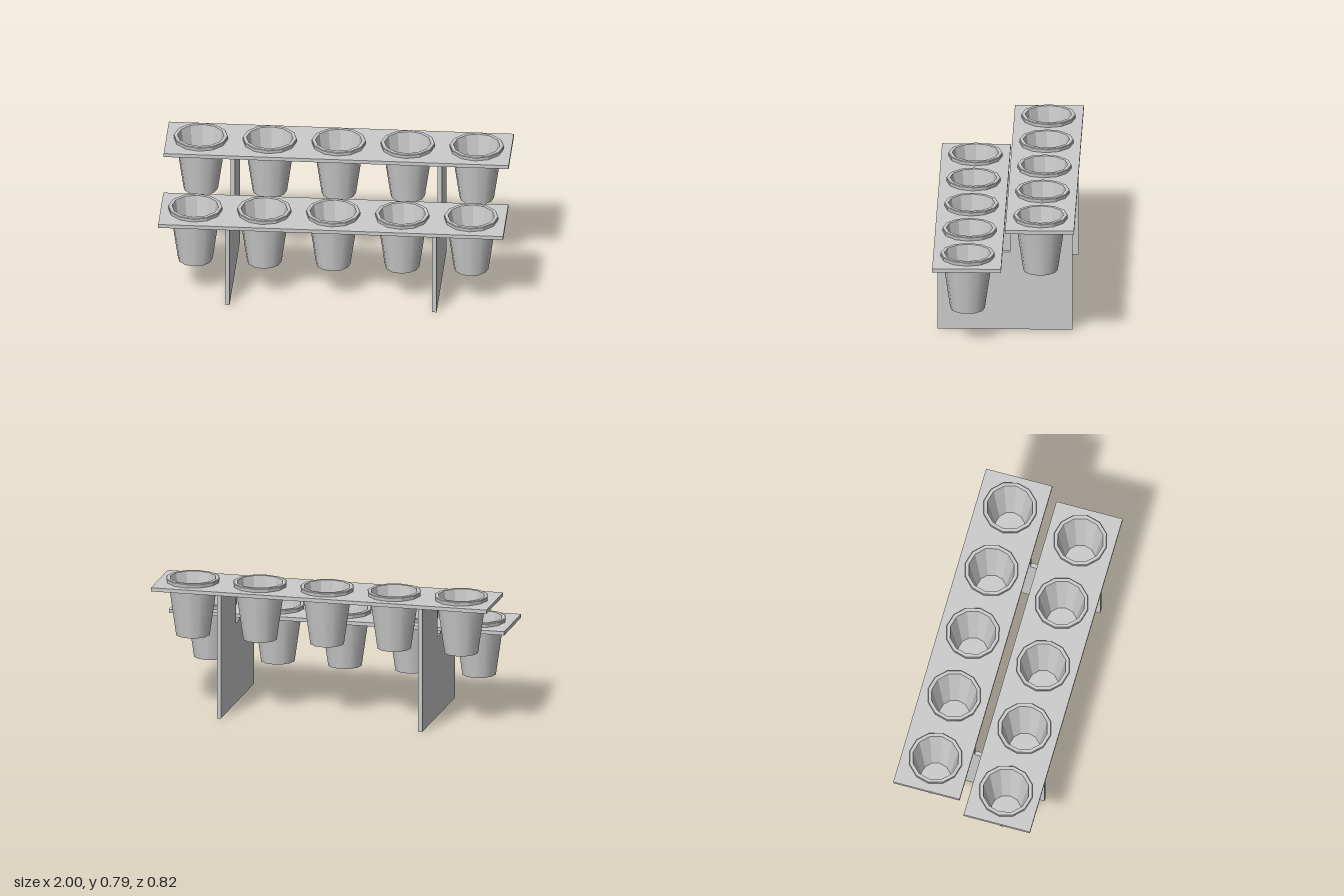
import * as THREE from 'three';

const SIDES = 12;
const material = new THREE.MeshStandardMaterial({ color: 0xcccccc });
const facetedMaterial = new THREE.MeshStandardMaterial({ color: 0xcccccc, flatShading: true });

function addMesh(parent, name, geometry, mat = material) {
  const mesh = new THREE.Mesh(geometry, mat);
  mesh.name = name;
  parent.add(mesh);
  return mesh;
}

// Lathe a list of [radius, height] points, listed so that faces point outwards.
function lathe(points) {
  return new THREE.LatheGeometry(points.map(([r, y]) => new THREE.Vector2(r, y)), SIDES);
}

// Tapered cup hanging by its rim; y = 0 is the top of the shelf.
function createCup() {
  const cup = new THREE.Group();
  cup.name = 'cup';
  addMesh(cup, 'cupWall', lathe([[0.1, -0.317], [0.146, 0]]));
  const base = addMesh(cup, 'cupBase', new THREE.CircleGeometry(0.1, SIDES));
  base.rotation.x = Math.PI / 2;
  base.position.y = -0.317;
  addMesh(cup, 'cupRim', lathe([[0.142, 0], [0.155, 0], [0.158, 0.02], [0.155, 0.024], [0.135, 0.024]]), facetedMaterial);
  addMesh(cup, 'cupInside', lathe([[0.135, 0.024], [0.088, -0.3], [0, -0.3]]), facetedMaterial);
  return cup;
}

// Long shelf with a row of round holes, each holding a cup.
function createTier(name, top, z) {
  const tier = new THREE.Group();
  tier.name = name;
  tier.position.set(0, top, z);
  const shape = new THREE.Shape();
  shape.moveTo(-1, -0.199).lineTo(1, -0.199).lineTo(1, 0.199).lineTo(-1, 0.199).closePath();
  for (let i = 0; i < 5; i++) {
    const x = (i - 2) * 0.4;
    shape.holes.push(new THREE.Path().absarc(x, 0, 0.147, 0, Math.PI * 2, true));
    const cup = createCup();
    cup.position.x = x;
    tier.add(cup);
  }
  const board = new THREE.ExtrudeGeometry(shape, { depth: 0.022, bevelEnabled: false, curveSegments: 24 });
  addMesh(tier, 'shelf', board.rotateX(Math.PI / 2));
  return tier;
}

// Stepped upright panel carrying both shelves; the outline is in [z, y].
function createSupport(x) {
  const outline = [
    [-0.39, 0], [0.39, 0], [0.39, 0.498], [0.037, 0.498],
    [0.037, 0.477], [-0.03, 0.477], [-0.03, 0.74], [-0.39, 0.74],
  ];
  const shape = new THREE.Shape(outline.map(([z, y]) => new THREE.Vector2(z, y)));
  const panel = new THREE.ExtrudeGeometry(shape, { depth: 0.025, bevelEnabled: false });
  panel.translate(0, 0, -0.0125).rotateY(-Math.PI / 2);
  const mesh = new THREE.Mesh(panel, material);
  mesh.name = x > 0 ? 'leftSupport' : 'rightSupport';
  mesh.position.x = x;
  return mesh;
}

export function createModel() {
  const model = new THREE.Group();
  model.name = 'tieredCupRack';
  model.add(createTier('frontTier', 0.52, 0.211));
  model.add(createTier('rearTier', 0.762, -0.211));
  model.add(createSupport(-0.6), createSupport(0.6));
  return model;
}
